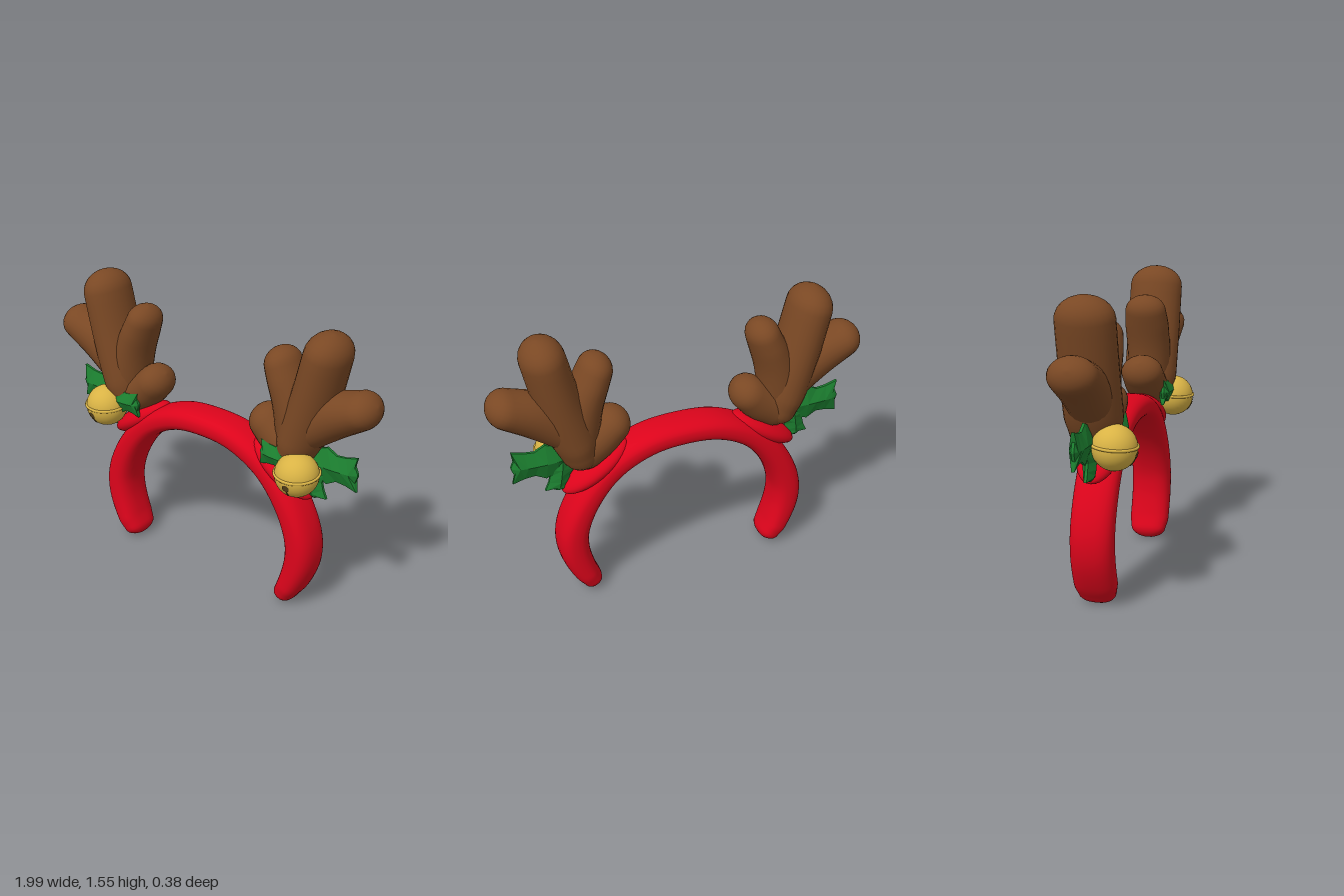
import * as THREE from 'three';

const Z = -0.038; // middle depth of band and antlers
const mat = (name, color) => {
  const m = new THREE.MeshStandardMaterial({ color });
  m.name = name;
  return m;
};

// Rounded limb along points [x, y, radius]; depth(r) gives the half depth in z, e squares the section
function sweep(points, depth, steps, e = 1, sides = 24) {
  const curve = new THREE.CatmullRomCurve3(points.map(p => new THREE.Vector3(...p)));
  const stations = [];
  const CAP = 6;
  const capAngle = i => Math.PI / 2 * (1 - (i + 0.3) / (CAP + 0.3));
  for (let i = 0; i < CAP; i++) stations.push([0, -capAngle(i)]);
  for (let i = 0; i <= steps; i++) stations.push([i / steps, 0]);
  for (let i = CAP - 1; i >= 0; i--) stations.push([1, capAngle(i)]);
  const pos = [], index = [];
  const soft = v => Math.sign(v) * Math.abs(v) ** e;
  const at = (t) => {
    const p = curve.getPoint(t), d = curve.getTangent(t), l = Math.hypot(d.x, d.y);
    return { p, tx: d.x / l, ty: d.y / l, r: p.z };
  };
  for (const [t, a] of stations) {
    const { p, tx, ty, r } = at(t);
    const off = r * Math.sin(a), s = Math.cos(a);
    for (let j = 0; j < sides; j++) {
      const q = j / sides * Math.PI * 2;
      const n = soft(Math.cos(q)) * r * s;
      pos.push(p.x + tx * off - ty * n, p.y + ty * off + tx * n, Z + soft(Math.sin(q)) * depth(r) * s);
    }
  }
  const rows = stations.length;
  for (let i = 0; i < rows - 1; i++) for (let j = 0; j < sides; j++) {
    const k = (j + 1) % sides, a = i * sides + j, b = i * sides + k;
    index.push(a, b, b + sides, a, b + sides, a + sides);
  }
  // close both tips
  for (const end of [0, 1]) {
    const { p, tx, ty, r } = at(end), s = end ? r : -r, c = pos.length / 3;
    pos.push(p.x + tx * s, p.y + ty * s, Z);
    const base = end ? (rows - 1) * sides : 0;
    for (let j = 0; j < sides; j++) {
      const a = base + j, b = base + (j + 1) % sides;
      if (end) index.push(c, a, b); else index.push(c, b, a);
    }
  }
  const g = new THREE.BufferGeometry();
  g.setAttribute('position', new THREE.Float32BufferAttribute(pos, 3));
  g.setIndex(index);
  g.computeVertexNormals();
  return g;
}

// Puffy spiky holly leaf along +x: stations are [spine x, edge x, half width, half thickness]
function leaf(scale, angle, x, y, z) {
  const st = [[0, 0, 0.03, 0.02], [0.06, 0.05, 0.075, 0.032], [0.11, 0.115, 0.1, 0.035],
    [0.16, 0.17, 0.07, 0.035], [0.21, 0.225, 0.075, 0.034], [0.25, 0.288, 0.093, 0.03],
    [0.272, 0.276, 0.045, 0.022], [0.292, 0.292, 0.006, 0.008]];
  const RIM = 0.007, pos = [], index = [], n = 6;
  // each ring: spine front, upper edge front and back, spine back, lower edge back and front
  for (const [s, ex, w, h] of st) {
    pos.push(s, 0, h, ex, w, RIM, ex, w, -RIM, s, 0, -h, ex, -w, -RIM, ex, -w, RIM);
  }
  for (let i = 0; i < st.length - 1; i++) for (let j = 0; j < n; j++) {
    const a = i * n + j, b = i * n + (j + 1) % n;
    index.push(a, a + n, b, b, a + n, b + n);
  }
  const last = (st.length - 1) * n;
  for (let j = 1; j < n - 1; j++) index.push(0, j, j + 1, last, last + j + 1, last + j);
  const g = new THREE.BufferGeometry();
  g.setAttribute('position', new THREE.Float32BufferAttribute(pos, 3));
  g.setIndex(index);
  const flat = g.toNonIndexed().scale(scale, scale, 1).rotateZ(angle).translate(x, y, z);
  flat.computeVertexNormals();
  return flat;
}

// Mirrored copy across x with faces turned back outward
function mirrored(geo) {
  const g = geo.clone().scale(-1, 1, 1);
  const idx = g.index ? Array.from(g.index.array) : Array.from({ length: g.attributes.position.count }, (_, i) => i);
  for (let i = 0; i < idx.length; i += 3) [idx[i + 1], idx[i + 2]] = [idx[i + 2], idx[i + 1]];
  g.setIndex(idx);
  return g;
}

export function createModel() {
  const model = new THREE.Group();
  model.name = 'antlerHeadband';
  const red = mat('red plush', 0xdc041b), brown = mat('brown plush', 0x7a4824);
  const green = mat('holly green', 0x1c8030), gold = mat('bell gold', 0xd9b345), dark = mat('bell slot', 0x54401a);

  const add = (parent, geo, material, name) => {
    const m = new THREE.Mesh(geo, material);
    m.name = name;
    parent.add(m);
  };

  // Headband arch
  const half = [[0.2, 0.843, 0.066], [0.39, 0.745, 0.068], [0.53, 0.58, 0.074],
    [0.605, 0.4, 0.08], [0.608, 0.27, 0.08], [0.565, 0.13, 0.069], [0.528, 0.06, 0.059]];
  const arch = [...half.map(([x, y, r]) => [-x, y, r]).reverse(), [0, 0.866, 0.065], ...half];
  add(model, sweep(arch, r => Math.min(0.109, r * 1.66), 72, 0.8, 32), red, 'headband');

  // Parts of one side, then repeated on the other
  const parts = [];
  const part = (geo, material, name) => parts.push([geo, material, name]);

  part(new THREE.SphereGeometry(1, 32, 20).scale(0.21, 0.06, 0.107).rotateZ(-0.58).translate(0.47, 0.758, Z), red, 'antlerPad');

  // Antler: stem and three side lobes swelling into one another, with a limit on each depth
  const limbs = {
    antlerStem: [0.146, [0.55, 0.88, 0.1], [0.585, 1.0, 0.12], [0.645, 1.2, 0.116], [0.703, 1.435, 0.112]],
    antlerOuterLobe: [0.12, [0.62, 1.03, 0.11], [0.75, 1.13, 0.116], [0.902, 1.204, 0.096]],
    antlerInnerLobe: [0.12, [0.56, 0.98, 0.12], [0.515, 1.15, 0.102], [0.447, 1.325, 0.086]],
    antlerLowerLobe: [0.115, [0.52, 0.88, 0.11], [0.44, 0.935, 0.107], [0.374, 0.993, 0.096]],
  };
  for (const [name, [limit, ...pts]] of Object.entries(limbs)) {
    part(sweep(pts, r => Math.min(limit, r * 1.3), 14), brown, name);
  }

  // Holly leaves
  part(leaf(1, 0.02, 0.61, 0.85, -0.042), green, 'outerLeaf');
  part(leaf(0.74, Math.PI - 0.03, 0.62, 0.872, 0.07), green, 'innerLeaf');
  part(leaf(0.74, -1.42, 0.635, 0.87, -0.035), green, 'lowerLeaf');

  // Bell with rim, hole and slit
  const place = g => g.rotateY(0.1).translate(0.63, 0.822, 0.08);
  part(place(new THREE.SphereGeometry(0.112, 32, 24)), gold, 'bell');
  part(place(new THREE.TorusGeometry(0.112, 0.008, 8, 40).rotateX(Math.PI / 2 + 0.06).translate(0, 0.012, 0)), gold, 'bellRim');
  part(place(new THREE.CircleGeometry(0.019, 20).translate(0, 0, 0.1145).rotateX(0.25)), dark, 'bellHole');
  part(place(new THREE.TorusGeometry(0.1115, 0.004, 6, 12, 0.5).rotateY(-Math.PI / 2).rotateX(0.8)), dark, 'bellSlit');

  for (const side of ['left', 'right']) {
    const group = new THREE.Group();
    group.name = side + 'Antler';
    for (const [geo, material, name] of parts) add(group, side === 'left' ? geo : mirrored(geo), material, name);
    model.add(group);
  }
  return model;
}
